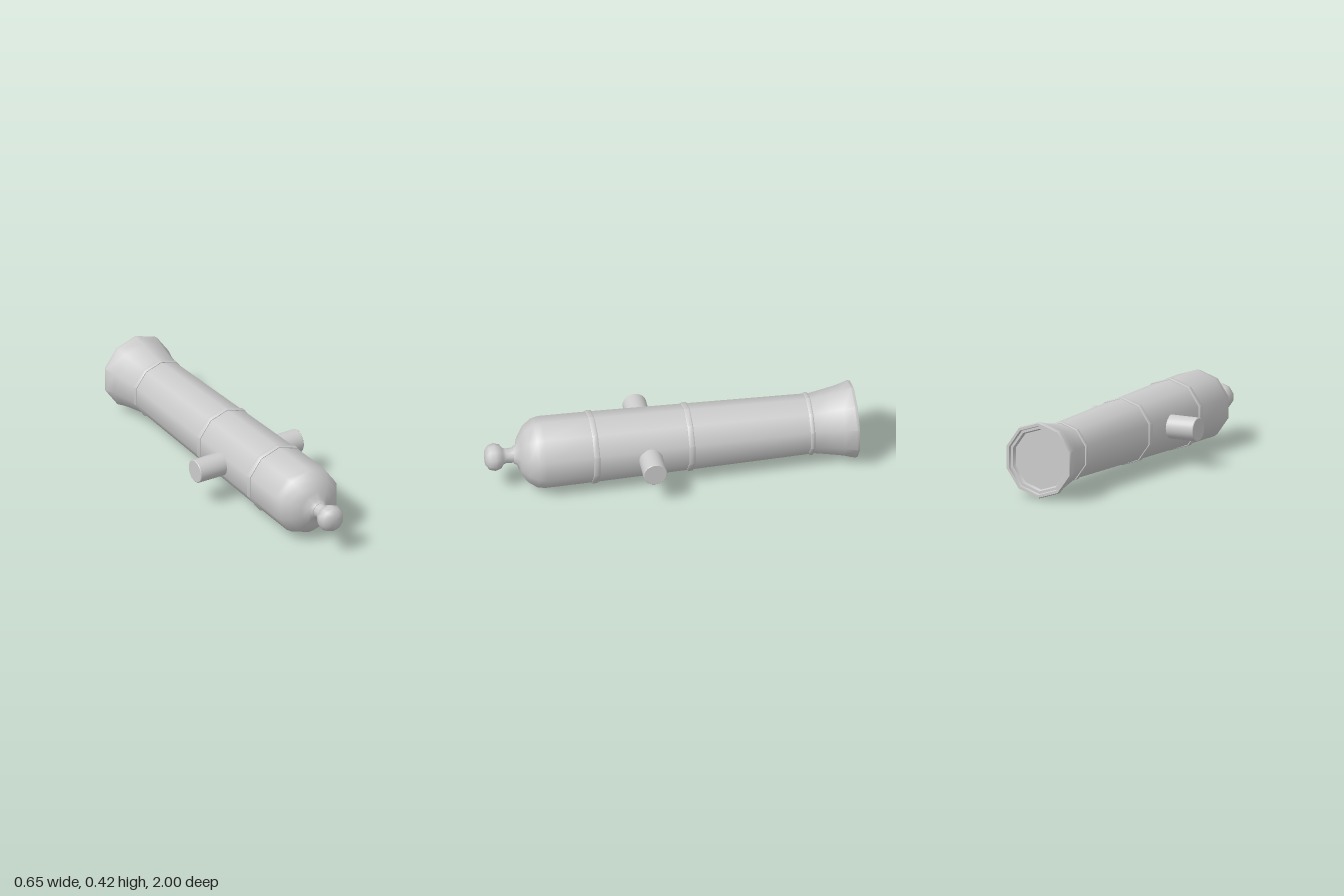
import * as THREE from 'three';
import { toCreasedNormals } from 'three/addons/utils/BufferGeometryUtils.js';

const AXIS_X = 0.013, AXIS_Y = 0.209, SIDES = 10;

export function createModel() {
  const model = new THREE.Group();
  model.name = 'cannon';
  const metal = new THREE.MeshStandardMaterial({ color: 0xcccccc });

  // Turns a [radius, z] profile, listed from muzzle to breech, around the bore axis
  function turned(name, profile, crease = 0.72) {
    const points = profile.map(([r, z]) => new THREE.Vector2(r, z));
    const geometry = new THREE.LatheGeometry(points, SIDES).rotateX(Math.PI / 2);
    const mesh = new THREE.Mesh(toCreasedNormals(geometry, crease), metal);
    mesh.name = name;
    mesh.position.set(AXIS_X, AXIS_Y, 0);
    model.add(mesh);
  }

  // Barrel: recessed muzzle, flared mouth, tapering tube and rounded breech
  turned('barrel', [
    [0, -0.968], [0.163, -0.968], [0.17, -0.985], [0.184, -0.985], [0.188, -1],
    [0.203, -1], [0.208, -0.985], [0.19, -0.925], [0.177, -0.86], [0.16, -0.765],
    [0.162, -0.73], [0.177, -0.1], [0.189, 0.42], [0.193, 0.69], [0.185, 0.73],
    [0.152, 0.778], [0.1, 0.812], [0.058, 0.825], [0.043, 0.845], [0, 0.85],
  ]);

  // Cascabel: neck and ball behind the breech
  turned('cascabel', [
    [0.046, 0.82], [0.041, 0.845], [0.039, 0.885], [0.045, 0.9], [0.064, 0.912],
    [0.075, 0.945], [0.066, 0.976], [0.042, 0.994], [0, 1],
  ], 0.9);

  // Reinforcing bands
  for (const [z, r, half] of [[-0.752, 0.168, 0.012], [-0.096, 0.184, 0.016], [0.42, 0.196, 0.016]]) {
    turned('band', [
      [r - 0.015, z - half], [r - 0.003, z - half], [r, z - half + 0.004],
      [r, z + half - 0.004], [r - 0.003, z + half], [r - 0.015, z + half],
    ]);
  }

  // Trunnions: one pivot stub on each side, with slightly bevelled ends
  const profile = [[0.064, 0.1], [0.064, 0.321], [0.061, 0.324], [0, 0.324]];
  for (const side of [1, -1]) {
    const geometry = new THREE.LatheGeometry(profile.map(([r, y]) => new THREE.Vector2(r, y)), 24);
    const trunnion = new THREE.Mesh(toCreasedNormals(geometry, 0.6), metal);
    trunnion.name = side > 0 ? 'leftTrunnion' : 'rightTrunnion';
    trunnion.rotation.z = -side * Math.PI / 2;
    trunnion.position.set(0, 0.211, 0.128);
    model.add(trunnion);
  }

  return model;
}
